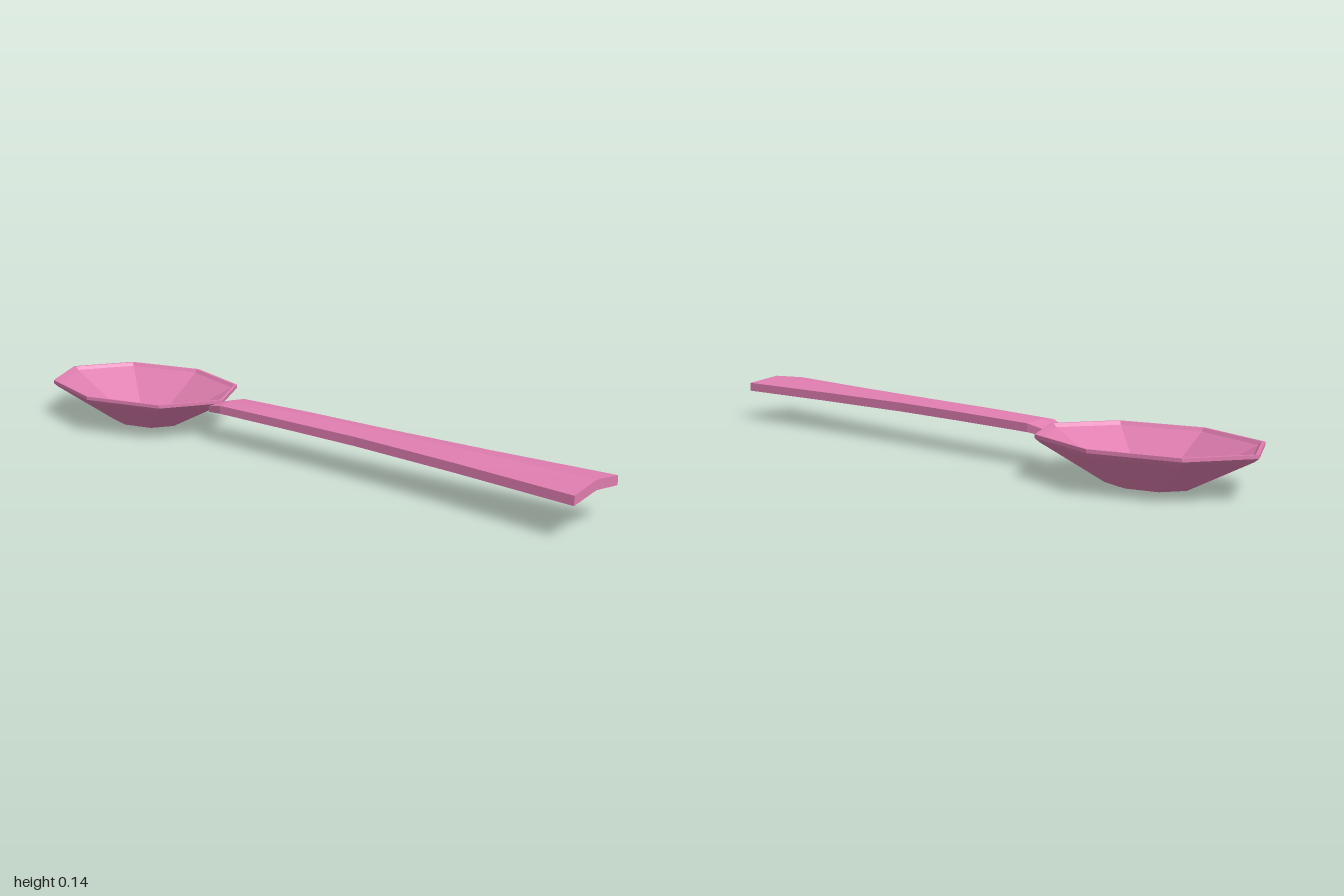
import * as THREE from 'three';

// Faceted oval bowl: an eight-sided lathe with a thin wall, stretched along z
function makeBowl(material) {
  const profile = [
    [0, 0], [0.375, 0], [0.955, 0.102], [1, 0.113], [1, 0.123],
    [0.97, 0.123], [0.94, 0.113], [0.37, 0.012], [0, 0.012],
  ].map(([r, y]) => new THREE.Vector2(r, y));
  const geometry = new THREE.LatheGeometry(profile, 8);
  geometry.scale(0.247, 1, 0.35);
  geometry.translate(0, 0, -0.65);
  const bowl = new THREE.Mesh(geometry, material);
  bowl.name = 'bowl';
  return bowl;
}

// Handle: a ridged chevron cross-section swept from the wide end to the neck
function makeHandle(material) {
  // z, half width, ridge top, edge top, edge bottom, ridge bottom
  const sections = [
    [1, 0.11, 0.14, 0.125, 0.098, 0.112],
    [0.62, 0.081, 0.14, 0.126, 0.099, 0.112],
    [0.27, 0.063, 0.139, 0.127, 0.1, 0.112],
    [0, 0.06, 0.137, 0.126, 0.1, 0.111],
    [-0.26, 0.055, 0.13, 0.123, 0.098, 0.108],
    [-0.32, 0.04, 0.112, 0.108, 0.09, 0.099],
  ];
  const positions = [];
  for (const [z, w, ridgeTop, edgeTop, edgeBottom, ridgeBottom] of sections) {
    positions.push(
      w, edgeBottom, z, w, edgeTop, z, 0, ridgeTop, z,
      -w, edgeTop, z, -w, edgeBottom, z, 0, ridgeBottom, z,
    );
  }
  const index = [];
  const quad = (a, b, c, d) => index.push(a, b, c, a, c, d);
  for (let i = 0; i < sections.length - 1; i++) {
    for (let j = 0; j < 6; j++) {
      const a = i * 6 + j;
      const b = i * 6 + (j + 1) % 6;
      quad(a, a + 6, b + 6, b);
    }
  }
  // End caps
  const last = (sections.length - 1) * 6;
  quad(0, 1, 2, 5);
  quad(5, 2, 3, 4);
  quad(last + 5, last + 2, last + 1, last);
  quad(last + 4, last + 3, last + 2, last + 5);

  const indexed = new THREE.BufferGeometry();
  indexed.setAttribute('position', new THREE.Float32BufferAttribute(positions, 3));
  indexed.setIndex(index);
  const geometry = indexed.toNonIndexed();
  geometry.computeVertexNormals();
  const handle = new THREE.Mesh(geometry, material);
  handle.name = 'handle';
  return handle;
}

export function createModel() {
  const pink = new THREE.MeshStandardMaterial({ color: 0xe07eb0, flatShading: true });
  pink.name = 'pink';
  const spoon = new THREE.Group();
  spoon.name = 'spoon';
  spoon.add(makeBowl(pink), makeHandle(pink));
  return spoon;
}
